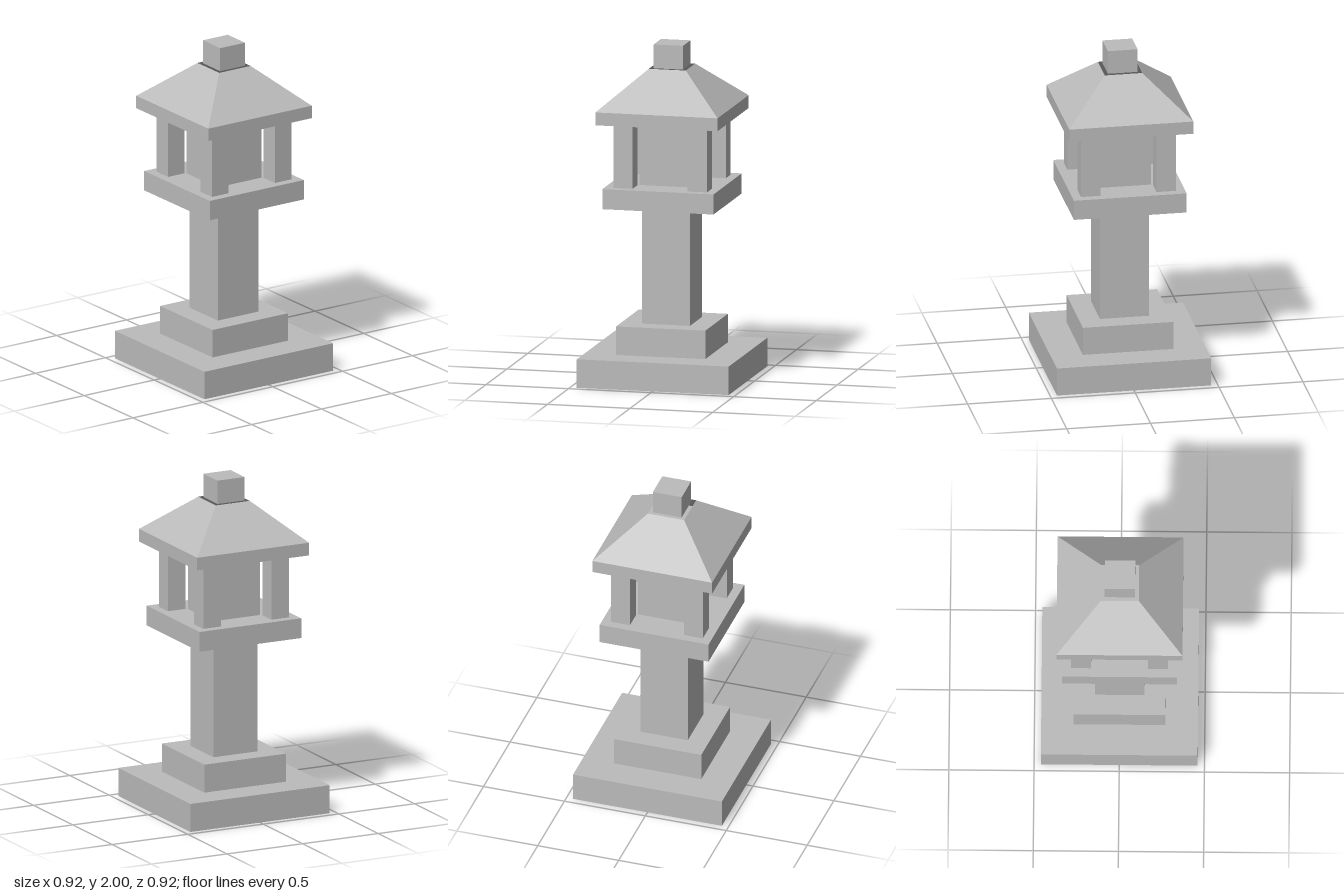
import * as THREE from 'three';

export function createModel() {
  const model = new THREE.Group();
  model.name = 'stoneLantern';

  const stone = new THREE.MeshStandardMaterial({ color: 0xbbbbbb });
  stone.name = 'stone';
  stone.flatShading = true;
  stone.side = THREE.DoubleSide;

  // Square block between two heights
  function block(name, width, y0, y1, x = 0, z = 0) {
    const mesh = new THREE.Mesh(new THREE.BoxGeometry(width, y1 - y0, width), stone);
    mesh.name = name;
    mesh.position.set(x, (y0 + y1) / 2, z);
    model.add(mesh);
  }

  // Stepped foot, shaft and platform
  block('base', 0.92, 0, 0.17);
  block('step', 0.54, 0.17, 0.34);
  block('shaft', 0.292, 0.34, 1.05);
  block('platform', 0.673, 1.05, 1.17);

  // Light chamber: core with a post at each corner
  block('core', 0.315, 1.17, 1.52);
  for (const x of [-1, 1]) {
    for (const z of [-1, 1]) {
      block('cornerPost', 0.117, 1.17, 1.556, x * 0.225, z * 0.225);
    }
  }

  // Eaves slab and sloping roof shell, open at the top around the finial
  block('eaves', 0.74, 1.556, 1.633);
  const roofHeight = 1.858 - 1.633;
  const roofGeometry = new THREE.CylinderGeometry(
    0.112 * Math.SQRT2, 0.37 * Math.SQRT2, roofHeight, 4, 1, true
  ).rotateY(Math.PI / 4);
  const roof = new THREE.Mesh(roofGeometry, stone);
  roof.name = 'roof';
  roof.position.y = 1.633 + roofHeight / 2;
  model.add(roof);

  block('finial', 0.178, 1.858, 2);

  return model;
}
